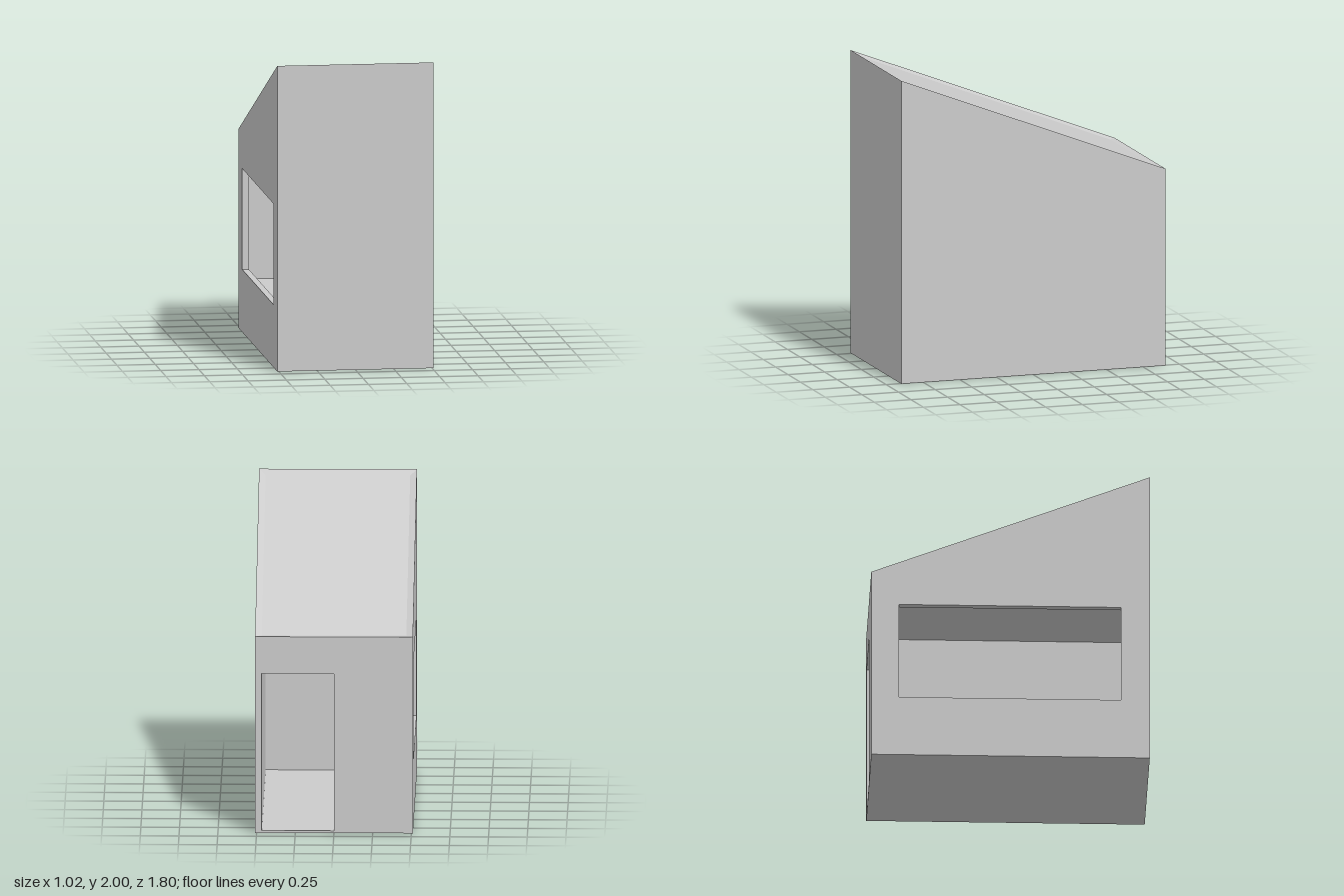
import * as THREE from 'three';

export function createModel() {
  const group = new THREE.Group();
  const mat = new THREE.MeshStandardMaterial({ color: 0xcccccc, flatShading: true });

  const W = 0.51, D = 0.9;           // half width and half depth
  const T = 0.043;                   // wall thickness
  const IW = W - T, ID = D - T;      // inner half sizes
  const FLOOR = 0.015, CEIL = 1.275; // floor top and ceiling underside
  const BACK = 1.3, FRONT = 2, DROP = 0.033;

  const add = (name, geometry) => {
    const mesh = new THREE.Mesh(geometry, mat);
    mesh.name = name;
    group.add(mesh);
  };
  // Box given by its two extreme corners
  const block = (name, [x0, y0, z0], [x1, y1, z1]) => add(name,
    new THREE.BoxGeometry(x1 - x0, y1 - y0, z1 - z0)
      .translate((x0 + x1) / 2, (y0 + y1) / 2, (z0 + z1) / 2));
  const rect = (Type, x0, y0, x1, y1) => new Type([[x0, y0], [x1, y0], [x1, y1], [x0, y1]]
    .map(([x, y]) => new THREE.Vector2(x, y)));

  // Floor, with the end walls standing on it
  block('floor', [-IW, 0, -D], [IW, FLOOR, D]);
  block('frontWall', [-IW, FLOOR, ID], [IW, CEIL, D]);
  block('leftWall', [IW, 0, -D], [W, CEIL, D]);

  // Back wall with a doorway beside the left wall
  block('backWall', [-IW, FLOOR, -D], [0, CEIL, -ID]);
  block('doorLintel', [0, 1.055, -D], [IW, CEIL, -ID]);

  // Right wall with the wide serving window
  const side = rect(THREE.Shape, -D, 0, D, CEIL);
  side.holes.push(rect(THREE.Path, -0.72, 0.41, 0.715, 1.07));
  add('rightWall', new THREE.ExtrudeGeometry(side, { depth: T, bevelEnabled: false })
    .rotateY(-Math.PI / 2).translate(-IW, 0, 0));

  // Counter below the window
  block('counter', [-IW, 0.27, -ID], [-0.02, 0.325, ID]);

  // Roof block: flat ceiling, sloping rim and slightly sunken top panel
  const ring = (w, d, front, back) =>
    [[-w, front, d], [w, front, d], [w, back, -d], [-w, back, -d]];
  const rings = [
    ring(W, D, CEIL, CEIL),
    ring(W, D, FRONT, BACK),
    ring(IW, ID, FRONT - DROP, BACK),
  ];
  const positions = [];
  const quad = (a, b, c, d) => positions.push(...[a, b, c, a, c, d].flat());
  for (let r = 0; r < 2; r++) {
    for (let i = 0; i < 4; i++) {
      const j = (i + 1) % 4;
      quad(rings[r][i], rings[r][j], rings[r + 1][j], rings[r + 1][i]);
    }
  }
  quad(...rings[2]);
  quad(...[...rings[0]].reverse());
  const roof = new THREE.BufferGeometry();
  roof.setAttribute('position', new THREE.Float32BufferAttribute(positions, 3));
  roof.computeVertexNormals();
  add('roof', roof);

  return group;
}
